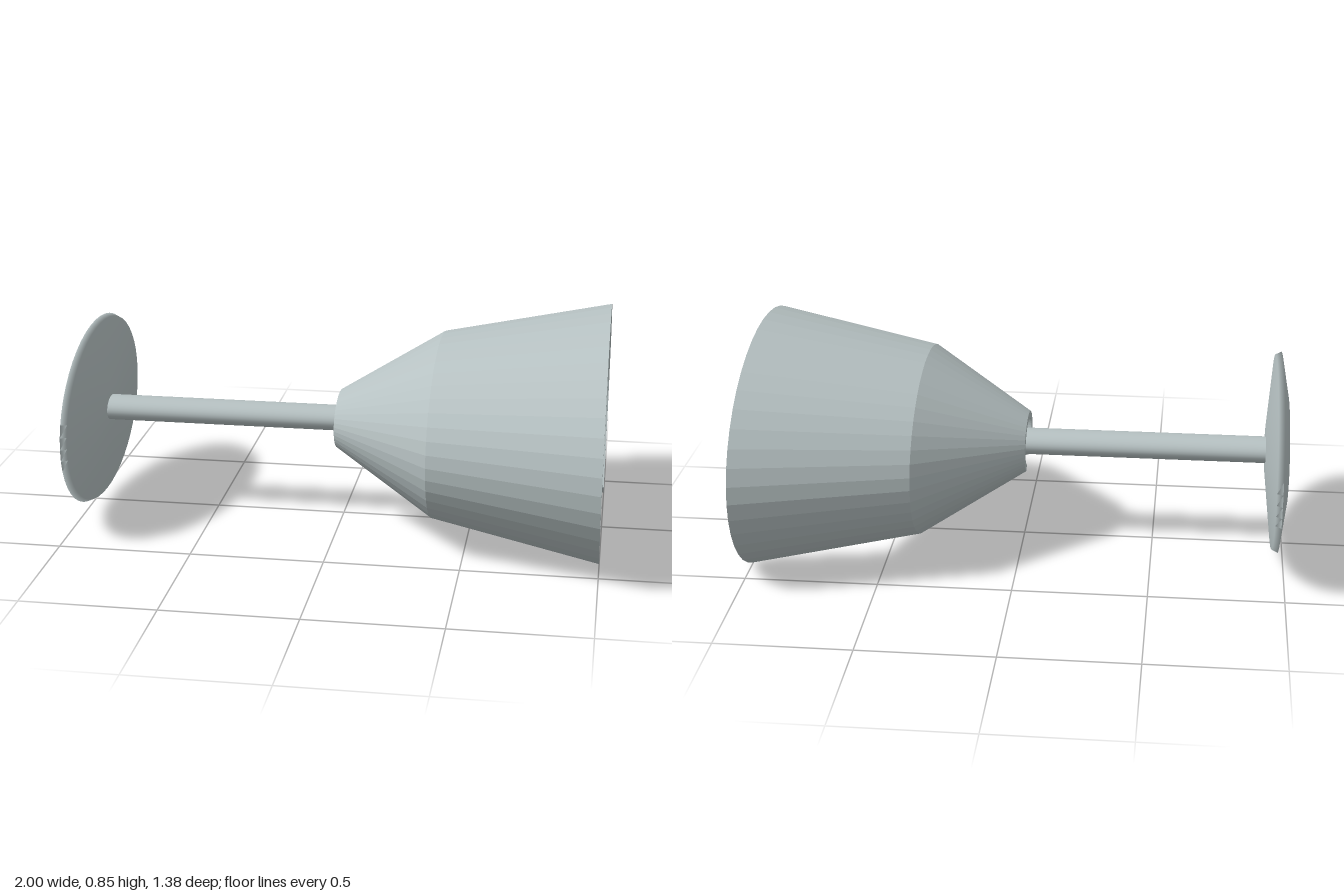
import * as THREE from 'three';

export function createModel() {
  const model = new THREE.Group();
  const grey = new THREE.MeshStandardMaterial({ color: 0xb6c1c2 });
  grey.name = 'pale grey';

  const RATIO = 2 / 3;      // height to width of the elliptical sections
  const AXIS_Y = 0.393;     // height of the goblet's axis
  const GAP = 32 * Math.PI / 180; // half angle of the slot in the bowl

  // Lay a geometry made around y along x, flatten it and add it
  function add(name, geometry) {
    geometry.rotateZ(-Math.PI / 2);
    geometry.scale(1, RATIO, 1);
    geometry.translate(0, AXIS_Y, 0);
    const mesh = new THREE.Mesh(geometry, grey);
    mesh.name = name;
    model.add(mesh);
  }
  const points = (list) => list.map(([r, x]) => new THREE.Vector2(r, x));

  // Foot: thin smooth disc with a bevelled rim
  add('foot', new THREE.LatheGeometry(points([
    [0, -1], [0.3, -1], [0.525, -0.972], [0.51, -0.95], [0.13, -0.92], [0, -0.92],
  ]), 48));

  // Stem: slim rod from the foot into the bowl's open neck
  add('stem', new THREE.LatheGeometry(points([
    [0.07, -0.93], [0.07, 0.02], [0.06, 0.03], [0, 0.035],
  ]), 32));

  // Bowl: faceted thick wall, open at both ends and slotted underneath
  const wall = points([
    [0.16, -0.015], [0.505, 0.37], [0.69, 1],
    [0.63, 1], [0.445, 0.37], [0.125, -0.015], [0.16, -0.015],
  ]);
  const start = Math.PI / 2 + GAP;
  const sweep = 2 * Math.PI - 2 * GAP;
  const shell = new THREE.LatheGeometry(wall, 36, start, sweep).toNonIndexed();
  shell.computeVertexNormals();
  add('bowl', shell);

  // Flat faces where the slot cuts through the wall
  [start, start + sweep].forEach((phi, i) => {
    const cut = new THREE.ShapeGeometry(new THREE.Shape(wall.slice(0, -1)));
    if (i === 1) cut.index.array.reverse();
    cut.computeVertexNormals();
    cut.rotateY(phi - Math.PI / 2);
    add(i === 0 ? 'slotFaceRear' : 'slotFaceFront', cut);
  });

  return model;
}
